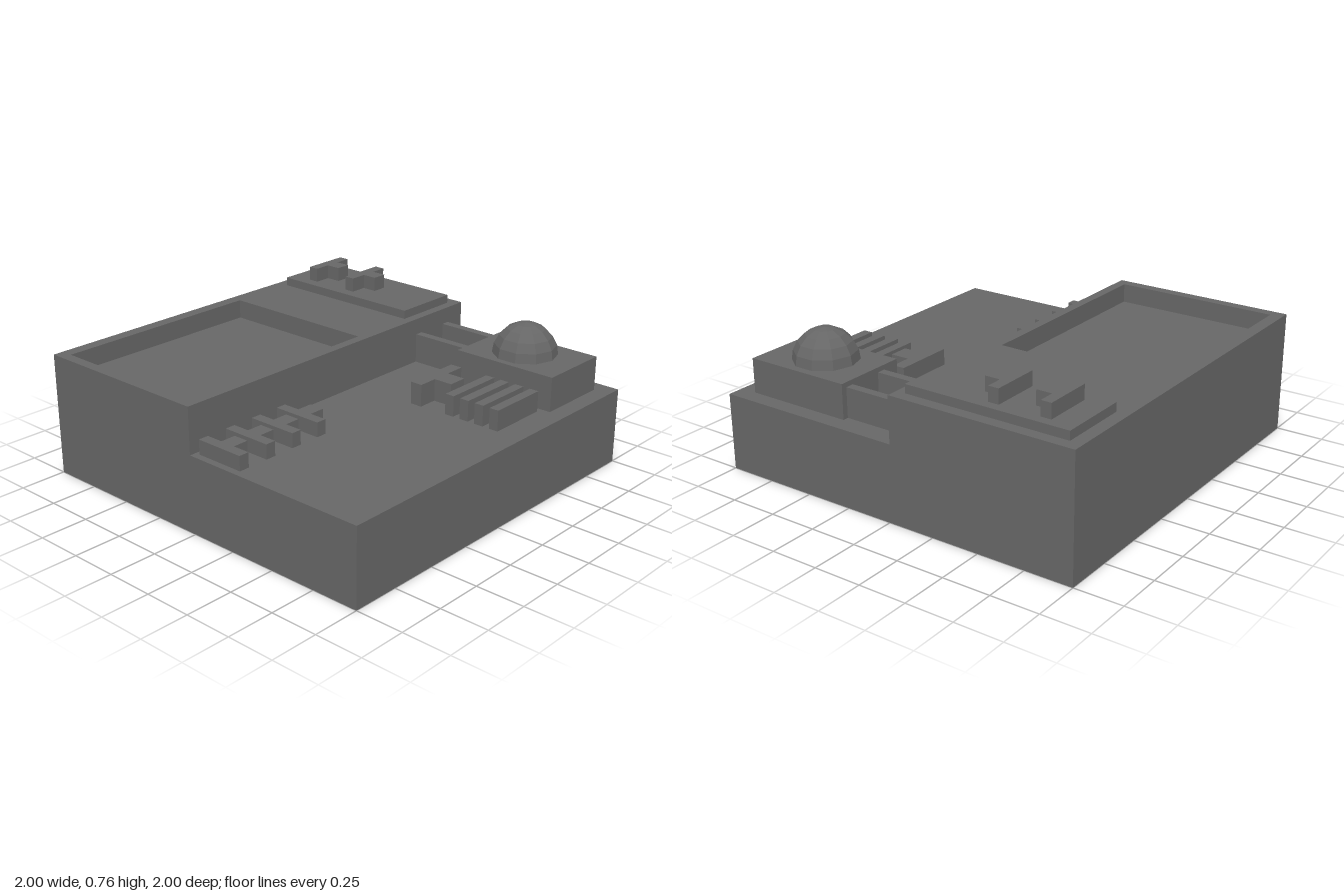
import * as THREE from 'three';

export function createModel() {
  const model = new THREE.Group();
  const grey = new THREE.MeshStandardMaterial({ color: 0x666666, flatShading: true });
  grey.name = 'grey';

  const add = (name, geometry, parent = model) => {
    const mesh = new THREE.Mesh(geometry, grey);
    mesh.name = name;
    parent.add(mesh);
    return mesh;
  };
  // Box given by its limits on each axis
  const box = (name, x0, x1, y0, y1, z0, z1) =>
    add(name, new THREE.BoxGeometry(x1 - x0, y1 - y0, z1 - z0)
      .translate((x0 + x1) / 2, (y0 + y1) / 2, (z0 + z1) / 2));
  // Outline of [x, z] corners
  const outline = (points, Type) => new Type(points.map(([x, z]) => new THREE.Vector2(x, -z)));
  const rect = (x0, x1, z0, z1) => [[x0, z0], [x0, z1], [x1, z1], [x1, z0]];
  // Upright prism between two heights
  const prism = (name, shape, y0, y1) =>
    add(name, new THREE.ExtrudeGeometry(shape, { depth: y1 - y0, bevelEnabled: false })
      .rotateX(-Math.PI / 2).translate(0, y0, 0));
  // T block with its bar along z and its stem towards +x
  const teeX = (name, x, z0, z1, barW, s0, s1, reach, y0, y1) =>
    prism(name, outline([
      [x, z0], [x, z1], [x + barW, z1], [x + barW, s1],
      [x + reach, s1], [x + reach, s0], [x + barW, s0], [x + barW, z0],
    ], THREE.Shape), y0, y1);

  // Ground slab
  box('base', -1, 1, 0, 0.4, -1, 1);

  // Main building with a sunken roof
  const roof = outline(rect(-1, -0.015, -1, 1), THREE.Shape);
  roof.holes.push(outline(rect(-0.935, -0.065, -0.205, 0.945), THREE.Path));
  prism('mainBlock', roof, 0.4, 0.64);
  box('sunkenFloor', -0.935, -0.065, 0.4, 0.54, -0.205, 0.945);

  // Raised roof plate with two T blocks
  box('roofPlate', -0.935, -0.065, 0.64, 0.685, -0.94, -0.575);
  for (const x of [-0.81, -0.54]) {
    teeX('roofTee', x, -0.89, -0.635, 0.055, -0.805, -0.725, 0.135, 0.685, 0.76);
  }

  // Passage walls joining the two buildings
  box('passageWall', -0.015, 0.335, 0.4, 0.555, -0.885, -0.84);
  box('passageWall', -0.015, 0.335, 0.4, 0.555, -0.66, -0.615);

  // Domed building
  box('domeBase', 0.335, 0.91, 0.4, 0.58, -0.915, -0.52);
  add('dome', new THREE.SphereGeometry(0.167, 10, 5, 0, Math.PI * 2, 0, Math.PI / 2))
    .position.set(0.613, 0.578, -0.715);

  // Large T block and the row of slats beside it
  teeX('yardTee', 0.335, -0.47, -0.15, 0.065, -0.36, -0.255, 0.167, 0.4, 0.515);
  for (let i = 0; i < 4; i++) {
    const x = 0.545 + i * 0.088;
    box('slat', x, x + 0.05, 0.4, 0.507, -0.485, -0.157);
  }

  // Row of T blocks along the main building
  for (let i = 0; i < 4; i++) {
    const z = 0.325 + i * 0.167;
    prism('frontTee', outline([
      [0.01, z + 0.083], [0.01, z + 0.138], [0.275, z + 0.138], [0.275, z + 0.083],
      [0.182, z + 0.083], [0.182, z], [0.1, z], [0.1, z + 0.083],
    ], THREE.Shape), 0.4, 0.475);
  }

  return model;
}
